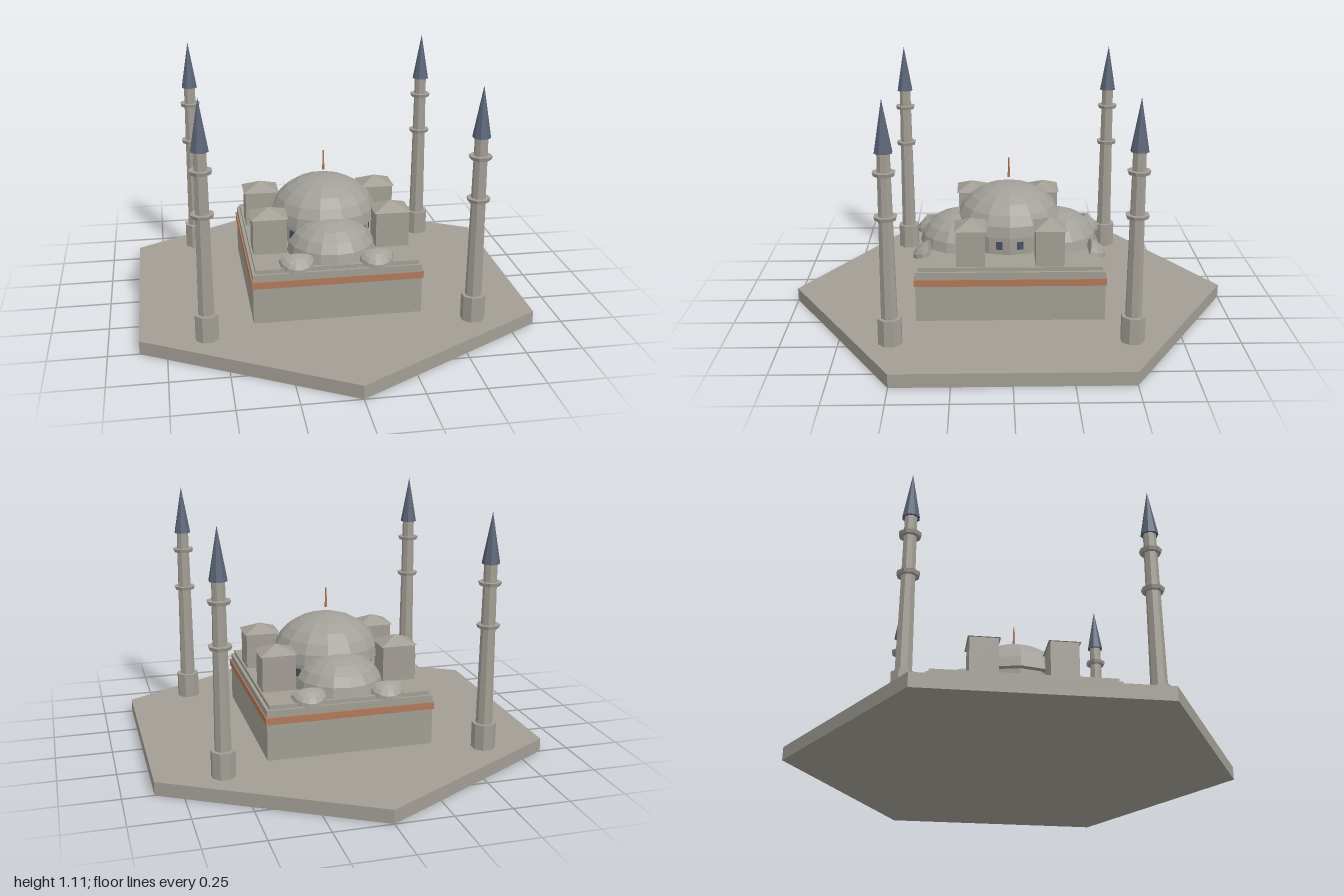
import * as THREE from 'three';

const mat = (name, color, side = THREE.FrontSide) => {
  const m = new THREE.MeshStandardMaterial({ color, flatShading: true, side });
  m.name = name;
  return m;
};

export function createModel() {
  const stone = mat('stone', 0xa29e95);
  const domeStone = mat('domeStone', 0xa19f98, THREE.DoubleSide);
  const copper = mat('copper', 0xb07a5a);
  const slate = mat('slate', 0x5a6477);
  const glass = mat('glass', 0x465066);

  const model = new THREE.Group();
  model.name = 'domedBuilding';

  const add = (parent, name, geometry, material, x = 0, y = 0, z = 0) => {
    const mesh = new THREE.Mesh(geometry, material);
    mesh.name = name;
    mesh.position.set(x, y, z);
    parent.add(mesh);
    return mesh;
  };
  // Box given by its bottom and top heights
  const box = (name, w, d, y0, y1, material, x = 0, z = 0) =>
    add(model, name, new THREE.BoxGeometry(w, y1 - y0, d), material, x, (y0 + y1) / 2, z);
  // Prism with flat sides facing the axes
  const octagon = (parent, name, rTop, rBottom, y0, y1, material) => {
    const g = new THREE.CylinderGeometry(rTop, rBottom, y1 - y0, 8).rotateY(Math.PI / 8);
    return add(parent, name, g, material, 0, (y0 + y1) / 2, 0);
  };

  // Hexagonal plaza and main hall
  add(model, 'plaza', new THREE.CylinderGeometry(1, 1, 0.06, 6), stone, 0, 0.03, 0);
  box('hallWalls', 0.746, 0.834, 0.06, 0.287, stone);
  box('roofSlab', 0.72, 0.81, 0.287, 0.305, stone);
  box('copperBand', 0.758, 0.844, 0.224, 0.255, copper);

  // Central drum with a window in each facet
  const sides = 14, drumR = 0.215;
  const drum = new THREE.CylinderGeometry(drumR, drumR, 0.092, sides).rotateY(Math.PI / 2);
  add(model, 'drum', drum, stone, 0, 0.351, 0);
  for (let i = 0; i < sides; i++) {
    const a = ((i + 0.5) / sides) * Math.PI * 2;
    const r = drumR * Math.cos(Math.PI / sides);
    const w = add(model, 'drumWindow', new THREE.BoxGeometry(0.008, 0.036, 0.03), glass,
      Math.cos(a) * r, 0.347, Math.sin(a) * r);
    w.rotation.y = -a;
  }

  // Main dome and finial
  const dome = new THREE.SphereGeometry(1, sides, 6, 0, Math.PI * 2, 0, Math.PI / 2);
  add(model, 'mainDome', dome, domeStone, 0, 0.395, 0).scale.set(0.245, 0.187, 0.245);
  const rim = new THREE.CircleGeometry(0.245, sides).rotateX(Math.PI / 2);
  add(model, 'domeUnderside', rim, stone, 0, 0.395, 0);
  add(model, 'finialBase', new THREE.CylinderGeometry(0.006, 0.006, 0.022, 6), copper, 0, 0.619, 0);
  add(model, 'finialSpike', new THREE.CylinderGeometry(0.003, 0.005, 0.07, 6), copper, 0, 0.665, 0);

  // Half domes at front and back, with small tilted apses at the corners
  const half = (n, m) => new THREE.SphereGeometry(1, n, m, 0, Math.PI, 0, Math.PI / 2);
  for (const turn of [0, Math.PI]) {
    const end = new THREE.Group();
    end.name = turn ? 'backDomes' : 'frontDomes';
    end.rotation.y = turn;
    model.add(end);
    add(end, 'halfDome', half(8, 5), domeStone, 0, 0.305, 0.21).scale.set(0.2, 0.148, 0.2);
    for (const s of [-1, 1]) {
      const apse = new THREE.Group();
      apse.name = 'cornerApse';
      apse.position.set(s * 0.175, 0.318, 0.355);
      apse.rotation.x = 0.35;
      apse.scale.set(0.08, 0.043, 0.087);
      end.add(apse);
      add(apse, 'apseDome', half(7, 4), domeStone);
      add(apse, 'apseBack', new THREE.CircleGeometry(1, 8, 0, Math.PI), domeStone);
    }
  }

  // Four square towers with pyramid roofs
  for (const sx of [-1, 1]) for (const sz of [-1, 1]) {
    const x = sx * 0.277, z = sz * 0.174;
    box('cornerTower', 0.15, 0.126, 0.3, 0.468, stone, x, z);
    const roof = new THREE.ConeGeometry(Math.SQRT1_2, 0.038, 4).rotateY(Math.PI / 4);
    add(model, 'towerRoof', roof, stone, x, 0.487, z).scale.set(0.166, 1, 0.142);
  }

  // Four minarets
  for (const sx of [-1, 1]) for (const sz of [-1, 1]) {
    const minaret = new THREE.Group();
    minaret.name = 'minaret';
    minaret.position.set(sx * 0.58, 0, sz * 0.512);
    model.add(minaret);
    octagon(minaret, 'minaretBase', 0.053, 0.053, 0.06, 0.176, stone);
    octagon(minaret, 'minaretShaft', 0.028, 0.036, 0.176, 0.89, stone);
    octagon(minaret, 'lowerBalcony', 0.051, 0.046, 0.609, 0.625, stone);
    octagon(minaret, 'upperBalcony', 0.05, 0.045, 0.796, 0.812, stone);
    octagon(minaret, 'minaretSpire', 0, 0.039, 0.89, 1.11, slate);
  }

  return model;
}
